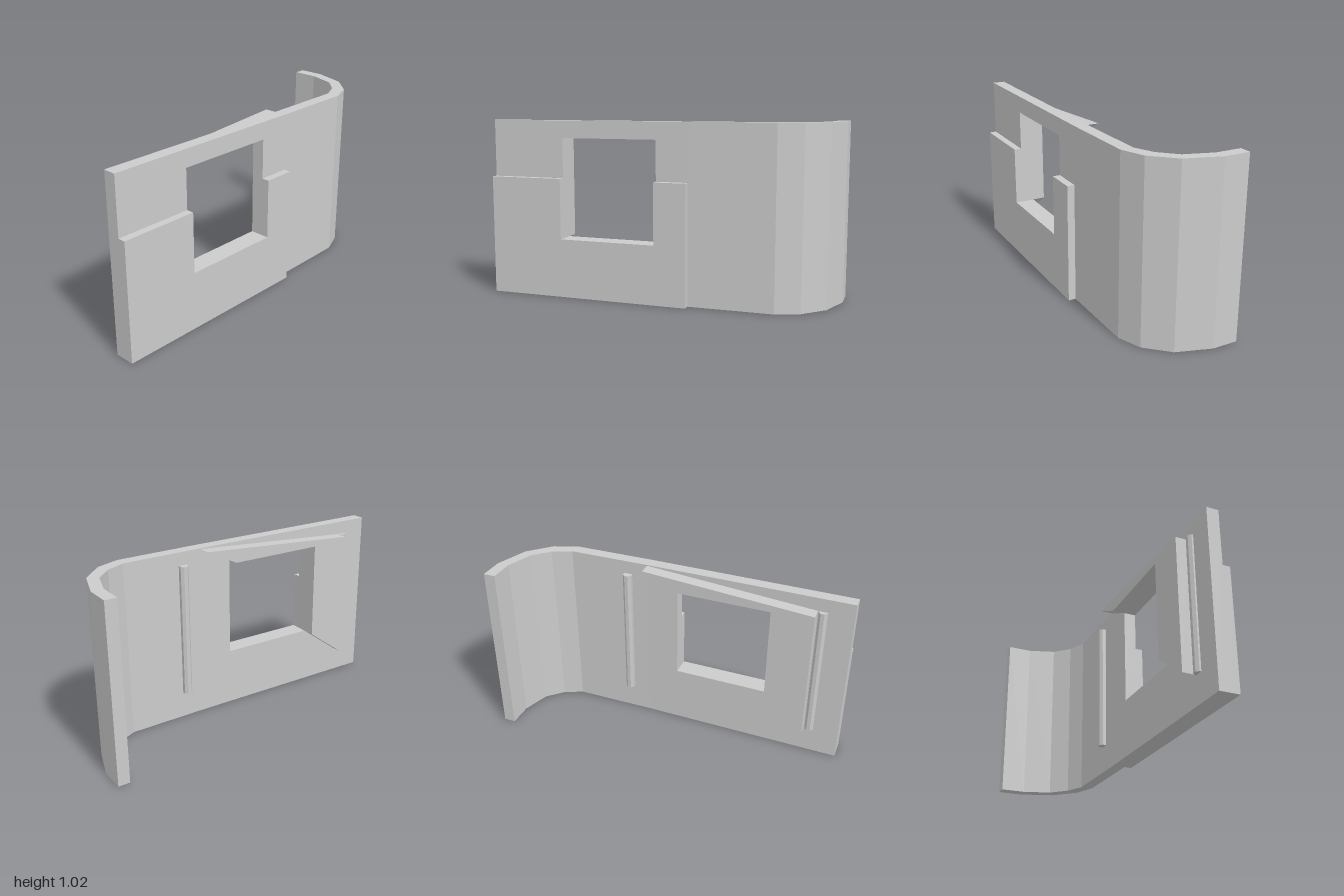
import * as THREE from 'three';

const H = 1.02; // wall height
const WIN = { l: -0.56, r: 0.01, b: 0.34, t: 0.92 };
const BACK = 0.165, FRONT = 0.237;

// The windowed half leans back slightly towards its outer end.
const lean = (x) => 0.0167 * (Math.min(x, 0.2) - 0.2);

export function createModel() {
  const model = new THREE.Group();
  const material = new THREE.MeshStandardMaterial({ color: 0xcccccc, flatShading: true });

  const toShape = (pts) => new THREE.Shape(pts.map(([x, y]) => new THREE.Vector2(x, y)));

  const add = (name, geometry) => {
    const mesh = new THREE.Mesh(geometry, material);
    mesh.name = name;
    model.add(mesh);
    return mesh;
  };

  // Upright plate: an x-y outline given depth from z0 to z1, then leaned
  const plate = (name, shape, z0, z1) => {
    const geo = new THREE.ExtrudeGeometry(shape, { depth: z1 - z0, bevelEnabled: false });
    geo.translate(0, 0, z0);
    const p = geo.attributes.position;
    for (let i = 0; i < p.count; i++) p.setZ(i, p.getZ(i) + lean(p.getX(i)));
    geo.computeVertexNormals();
    return add(name, geo);
  };

  // Wall half with the window opening
  const wall = toShape([[-1, 0], [0.2, 0], [0.2, H], [-1, H]]);
  wall.holes.push(new THREE.Path([
    [WIN.l, WIN.b], [WIN.l, WIN.t], [WIN.r, WIN.t], [WIN.r, WIN.b],
  ].map(([x, y]) => new THREE.Vector2(x, y))));
  plate('windowWall', wall, BACK, FRONT);

  // Plain wall half with the bent end: plan outline (x, z) extruded upwards
  const plan = [
    [0.2, FRONT], [0.68, FRONT], [0.815, 0.185], [0.935, 0.06], [1, -0.135], [1, -0.28],
    [0.932, -0.28], [0.932, -0.135], [0.88, 0.025], [0.79, 0.115], [0.68, BACK], [0.2, BACK],
  ];
  const bend = new THREE.ExtrudeGeometry(toShape(plan.map(([x, z]) => [x, -z])), {
    depth: H, bevelEnabled: false,
  });
  bend.rotateX(-Math.PI / 2);
  add('curvedWall', bend);

  // Raised lower panel on the front, notched around the window
  plate('frontPanel', toShape([
    [-1, 0], [0.195, 0], [0.195, 0.69], [WIN.r, 0.69], [WIN.r, WIN.b],
    [WIN.l, WIN.b], [WIN.l, 0.69], [-1, 0.69],
  ]), FRONT, 0.28);

  // Half surround on the back: top and side bars with mitred ends
  plate('rearSurround', toShape([
    [0.2, 1.015], [-0.8, 0.943], [-0.8, 0.163],
    [WIN.l, WIN.b], [WIN.l, WIN.t], [WIN.r, WIN.t],
  ]), 0.09, BACK);

  // Two upright rods half sunk into the back
  for (const x of [-0.83, 0.32]) {
    const rod = add('rearRod', new THREE.CylinderGeometry(0.027, 0.027, 0.785, 8));
    rod.rotation.y = Math.PI / 8;
    rod.position.set(x, 0.55, 0.153 + lean(x) * 0.3);
  }

  return model;
}
